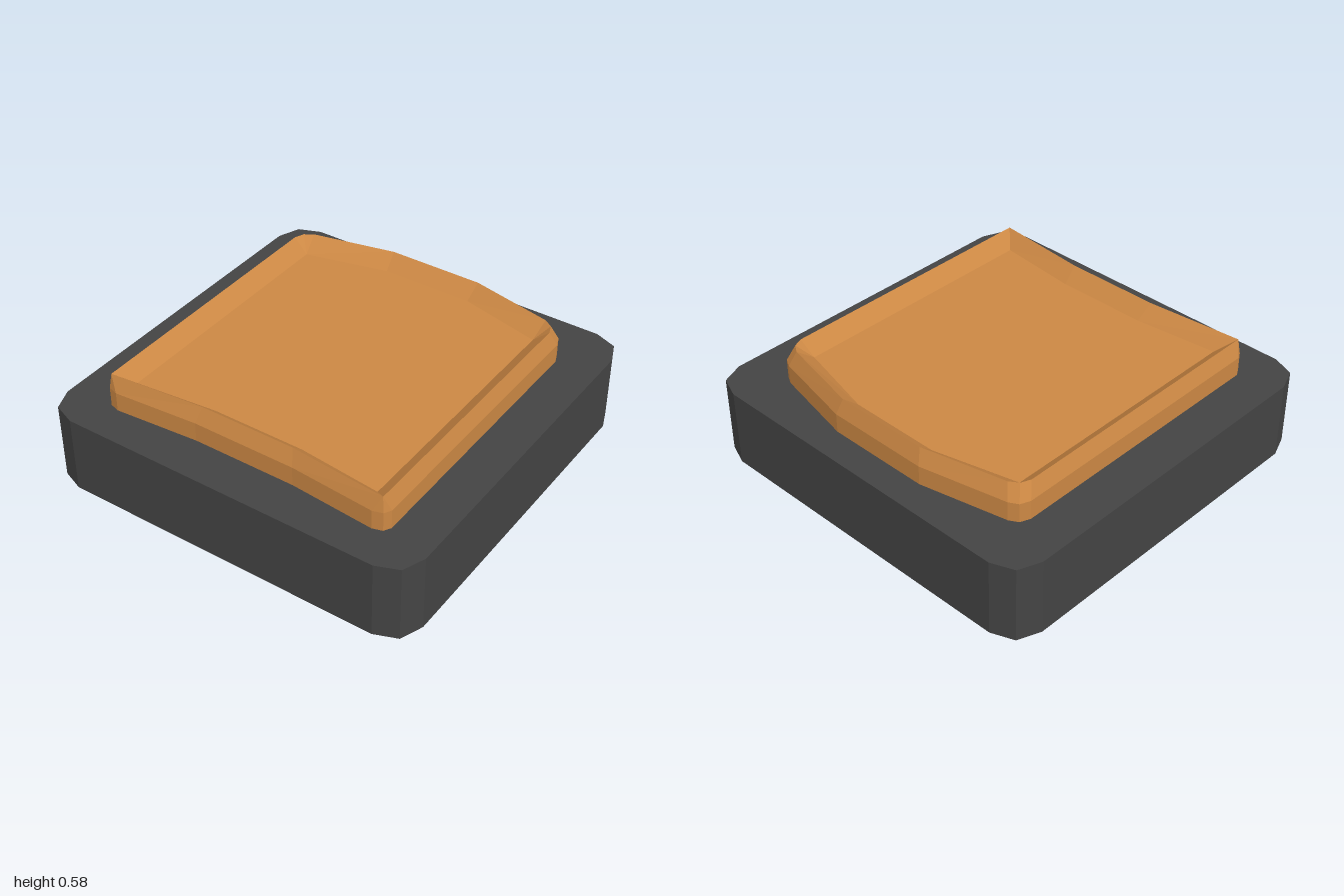
import * as THREE from 'three';

// Mirror a half outline (x > 0, back to front) into a closed loop of [x, z]
const mirror = (half) => [...half, ...half.map(([x, z]) => [-x, z]).reverse()];

// Flat polygon facing up at height y
function cap(loop, y) {
  const shape = new THREE.Shape(loop.map(([x, z]) => new THREE.Vector2(x, -z)));
  return new THREE.ShapeGeometry(shape).rotateX(-Math.PI / 2).translate(0, y, 0);
}

// Faceted skin through stacked loops that share one point count
function skin(layers) {
  const pos = [];
  const tri = (a, b, c) => {
    const area = b.clone().sub(a).cross(c.clone().sub(a)).length();
    if (area > 1e-7) for (const v of [a, b, c]) pos.push(v.x, v.y, v.z);
  };
  for (let k = 0; k < layers.length - 1; k++) {
    const [lo, hi] = [layers[k], layers[k + 1]].map(({ loop, y }) =>
      loop.map(([x, z]) => new THREE.Vector3(x, y, z)));
    for (let i = 0; i < lo.length; i++) {
      const j = (i + 1) % lo.length;
      tri(lo[i], hi[i], lo[j]);
      tri(lo[j], hi[i], hi[j]);
    }
  }
  const geo = new THREE.BufferGeometry();
  geo.setAttribute('position', new THREE.Float32BufferAttribute(pos, 3));
  geo.computeVertexNormals();
  return geo;
}

export function createModel() {
  const model = new THREE.Group();
  const dark = new THREE.MeshStandardMaterial({ color: 0x444444, flatShading: true });
  const orange = new THREE.MeshStandardMaterial({ color: 0xcc8844, flatShading: true });
  const add = (name, geo, mat, parent) => {
    const mesh = new THREE.Mesh(geo, mat);
    mesh.name = name;
    parent.add(mesh);
  };

  // Square base with two-facet rounded corners
  const baseLoop = mirror([[0.84, -1], [0.955, -0.955], [1, -0.84], [1, 0.84], [0.955, 0.955], [0.84, 1]]);
  const baseShape = new THREE.Shape(baseLoop.map(([x, z]) => new THREE.Vector2(x, -z)));
  const baseGeo = new THREE.ExtrudeGeometry(baseShape, { depth: 0.405, bevelEnabled: false });
  add('base', baseGeo.rotateX(-Math.PI / 2), dark, model);

  // Raised pad: wall, bevel to a sharp rim, slope down to a sunken floor
  const wall = mirror([[0.27, -0.85], [0.715, -0.755], [0.76, -0.73], [0.78, -0.68],
    [0.78, 0.765], [0.76, 0.8], [0.71, 0.815], [0.27, 0.78]]);
  const rim = mirror([[0.25, -0.82], [0.685, -0.725], [0.73, -0.695], [0.75, -0.645],
    [0.75, 0.79], [0.75, 0.79], [0.75, 0.79], [0.25, 0.745]]);
  const floorHalf = [[0.24, -0.74], [0.67, -0.635], [0.67, -0.635], [0.67, -0.635],
    [0.67, 0.71], [0.67, 0.71], [0.67, 0.71], [0.24, 0.665]];
  const floorY = 0.515;

  const pad = new THREE.Group();
  pad.name = 'pad';
  model.add(pad);
  add('padSides', skin([
    { loop: wall, y: 0.4 },
    { loop: wall, y: 0.505 },
    { loop: rim, y: 0.585 },
    { loop: mirror(floorHalf), y: floorY },
  ]), orange, pad);
  const corners = [0, 1, 4, 7].map((i) => floorHalf[i]);
  add('padFloor', cap(mirror(corners), floorY), orange, pad);

  return model;
}
